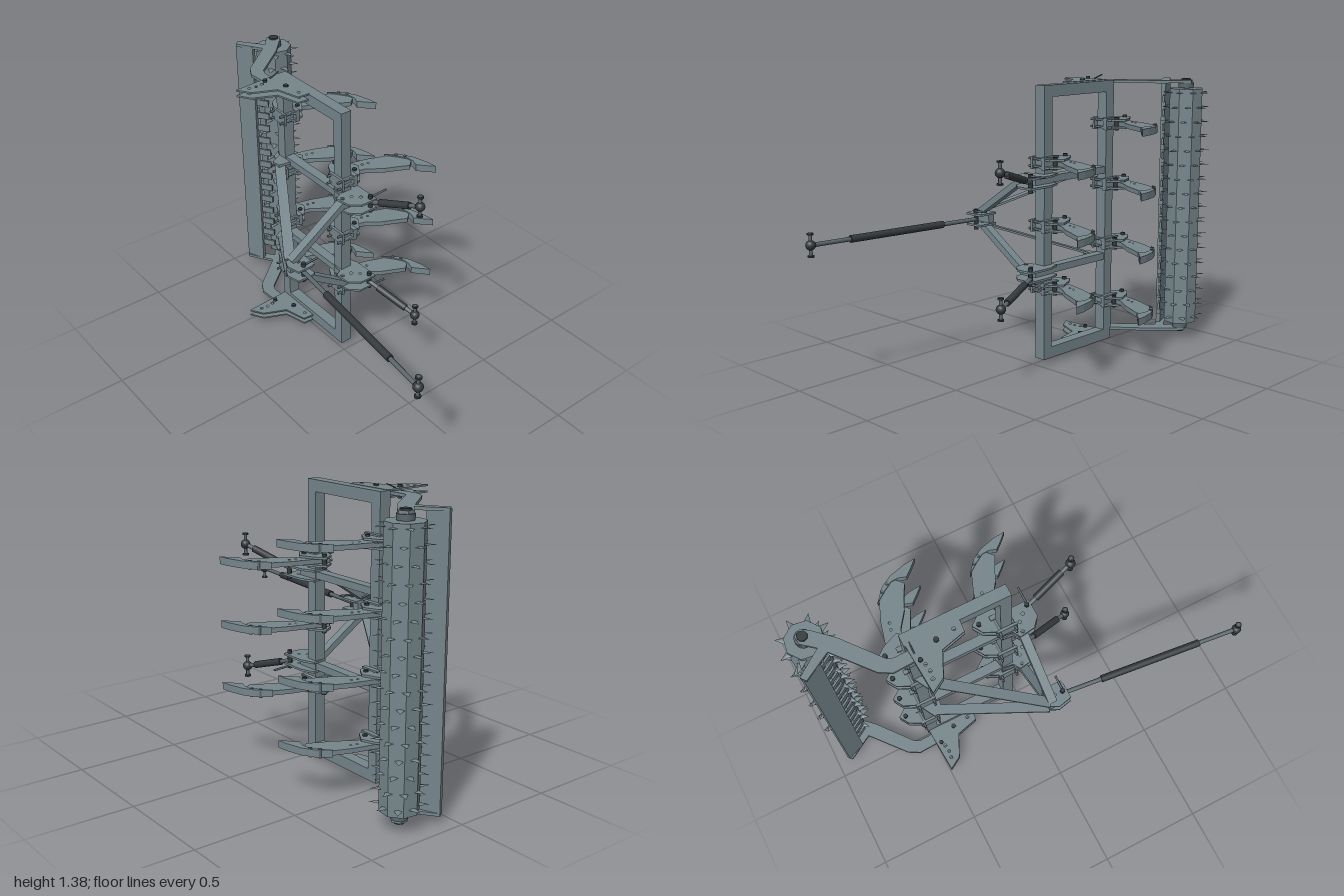
import * as THREE from 'three';
import { mergeGeometries } from 'three/addons/utils/BufferGeometryUtils.js';

const MID = 0.685; // plane of symmetry across the working width (y)
const steel = new THREE.MeshStandardMaterial({ color: 0x75858b, flatShading: true });
const dark = new THREE.MeshStandardMaterial({ color: 0x33383b });
const bolt = new THREE.MeshStandardMaterial({ color: 0x59666b });
const V = (x, y, z) => new THREE.Vector3(x, y, z);

function add(parent, name, geo, mat = steel) {
  const m = new THREE.Mesh(geo, mat);
  m.name = name;
  parent.add(m);
  return m;
}

function box(parent, name, x0, x1, y0, y1, z0, z1, mat) {
  const g = new THREE.BoxGeometry(x1 - x0, y1 - y0, z1 - z0);
  g.translate((x0 + x1) / 2, (y0 + y1) / 2, (z0 + z1) / 2);
  return add(parent, name, g, mat);
}

// Plate outlined in (x, z), with its thickness t centred on height y
function plate(parent, name, pts, y, t, holes = [], mat = steel) {
  const s = new THREE.Shape(pts.map(([x, z]) => new THREE.Vector2(x, -z)));
  for (const [x, z, r] of holes) s.holes.push(new THREE.Path().absarc(x, -z, r, 0, Math.PI * 2, true));
  const g = new THREE.ExtrudeGeometry(s, { depth: t, bevelEnabled: false, curveSegments: 5 });
  g.rotateX(-Math.PI / 2).translate(0, y - t / 2, 0);
  return add(parent, name, g, mat);
}

// Round bar between two points
function rod(parent, name, a, b, r, mat = bolt, sides = 14) {
  const d = b.clone().sub(a);
  const m = add(parent, name, new THREE.CylinderGeometry(r, r, d.length(), sides), mat);
  m.position.copy(a).lerp(b, 0.5);
  m.quaternion.setFromUnitVectors(V(0, 1, 0), d.normalize());
  return m;
}
const pin = (p, name, x, y, z, r, len, mat = bolt, sides = 10) =>
  rod(p, name, V(x, y - len / 2, z), V(x, y + len / 2, z), r, mat, sides);

// Rectangular bar between two points: w wide, t thick in the direction nearest y
function bar(parent, name, a, b, w, t) {
  const d = b.clone().sub(a);
  const m = add(parent, name, new THREE.BoxGeometry(w, t, d.length()));
  const z = d.normalize(), x = V(0, 1, 0).cross(z).normalize();
  m.quaternion.setFromRotationMatrix(new THREE.Matrix4().makeBasis(x, z.clone().cross(x), z));
  m.position.copy(a).lerp(b, 0.5);
  return m;
}

// Adjustable link with a dark sleeve, a ball end and a cross pin
function link(parent, name, a, b, s0, s1, r) {
  const g = new THREE.Group();
  g.name = name;
  parent.add(g);
  rod(g, 'linkRod', a, b, r * 0.6);
  rod(g, 'linkSleeve', a.clone().lerp(b, s0), a.clone().lerp(b, s1), r, dark, 18);
  add(g, 'linkBall', new THREE.SphereGeometry(0.023, 16, 12), dark).position.copy(b);
  pin(g, 'crossPin', b.x, b.y, b.z, 0.008, 0.11, bolt);
  for (const s of [-1, 1]) pin(g, 'crossPinHead', b.x, b.y + s * 0.05, b.z, 0.015, 0.008, dark);
}

function makeFrame(root) {
  const g = new THREE.Group();
  g.name = 'frame';
  root.add(g);
  box(g, 'rearBeam', -0.515, -0.46, 0.025, 1.345, -0.056, 0);
  box(g, 'frontBeam', -0.075, -0.02, 0.025, 1.345, -0.056, 0);
  for (const s of [-1, 1]) {
    const e = MID + s * 0.6325, m = MID + s * 0.22;
    box(g, 'endBeam', -0.46, -0.075, e - 0.0275, e + 0.0275, -0.056, 0);
    box(g, 'innerBeam', -0.46, -0.075, m - 0.017, m + 0.017, -0.052, -0.004);
  }
}

// Curved tine with its share, cheek plates and clamp, placed on a beam at (x, y)
function makeTine(root, x, y) {
  const g = new THREE.Group();
  g.name = 'tine';
  g.position.set(x, y, 0);
  root.add(g);
  const back = [[-0.1, -0.03], [-0.085, -0.1], [-0.07, -0.16], [-0.055, -0.22], [-0.02, -0.31], [0.025, -0.355], [0.075, -0.385]];
  const front = [[0.115, -0.34], [0.085, -0.28], [0.06, -0.225], [0.01, -0.155], [-0.015, -0.07], [-0.02, -0.03]];
  plate(g, 'shank', [...back, ...front], 0, 0.022, [[-0.03, -0.17, 0.006], [-0.022, -0.2, 0.006]]);
  plate(g, 'share', [[-0.03, -0.305], [0.02, -0.366], [0.075, -0.398], [0.15, -0.418], [0.205, -0.424],
    [0.17, -0.39], [0.135, -0.36], [0.1, -0.372], [0.065, -0.37], [0.025, -0.345]], 0, 0.034);
  for (const [bx, bz] of [[0.01, -0.345], [0.045, -0.37]]) pin(g, 'shareBolt', bx, 0, bz, 0.008, 0.042);
  const cheek = [[-0.135, -0.075], [-0.09, -0.11], [-0.02, -0.14], [0.04, -0.1], [0.05, -0.055], [0.03, 0.004], [-0.045, 0.004], [-0.105, -0.025]];
  for (const s of [-1, 1]) {
    plate(g, 'cheekPlate', cheek, s * 0.018, 0.01);
    for (const bx of [-0.038, 0.038])
      rod(g, 'clampBolt', V(bx, s * 0.018, -0.085), V(bx, s * 0.018, 0.032), 0.006);
  }
  box(g, 'clampPlate', -0.05, 0.05, -0.03, 0.03, 0, 0.012);
  box(g, 'clampBlock', -0.05, 0.05, -0.03, 0.03, -0.078, -0.056);
  pin(g, 'shearPin', -0.105, 0, -0.065, 0.011, 0.07, dark);
  pin(g, 'pivotPin', 0.0, 0, -0.1, 0.011, 0.062, dark);
}

function makeHitch(root) {
  const g = new THREE.Group();
  g.name = 'hitch';
  root.add(g);
  for (const s of [-1, 1]) {
    const y = MID + s * 0.22;
    // mast legs and flat rear stays meeting at the mast head
    bar(g, 'mastLeg', V(0.02, y + s * 0.01, 0.025), V(0.02, MID + s * 0.03, 0.325), 0.042, 0.03);
    bar(g, 'rearStay', V(-0.46, y, 0.035), V(0.01, MID + s * 0.035, 0.325), 0.05, 0.01);
    plate(g, 'mastHeadPlate', [[0, 0.25], [0.1, 0.25], [0.107, 0.27], [0.107, 0.345], [0.04, 0.36], [0, 0.34]],
      MID + s * 0.026, 0.01, [[0.045, 0.3, 0.008]]);
    plate(g, 'stayLug', [[-0.51, 0], [-0.42, 0], [-0.43, 0.06], [-0.475, 0.065]], y, 0.014);
    for (const k of [-1, 1])
      plate(g, 'lowerHitchPlate', [[-0.075, 0.004], [-0.09, -0.075], [-0.02, -0.1], [0.115, -0.1], [0.115, -0.01], [0.075, 0.035], [0, 0.045], [-0.02, 0.01]],
        y + k * 0.023, 0.01, [[0.03, -0.02, 0.008], [0.06, -0.05, 0.008]]);
    box(g, 'lowerHitchBlock', -0.02, 0.04, y - 0.02, y + 0.02, -0.056, 0.03);
    pin(g, 'lowerHitchPin', 0.095, y, -0.078, 0.011, 0.09, dark);
    rod(g, 'pinHandle', V(0.097, y + s * 0.035, -0.07), V(0.097, y + s * 0.04, -0.17), 0.005);
    pin(g, 'mastFootBolt', 0.02, y, 0.025, 0.01, 0.064);
    link(g, 'lowerLink', V(0.095, y + s * 0.008, -0.078), V(0.355, MID + s * 0.308, -0.147), 0.2, 0.8, 0.017);
  }
  box(g, 'mastHeadSpacer', 0, 0.035, MID - 0.022, MID + 0.022, 0.265, 0.34);
  pin(g, 'mastPin', 0.085, MID, 0.302, 0.011, 0.1, dark);
  rod(g, 'pinHandle', V(0.088, MID + 0.04, 0.302), V(0.088, MID + 0.045, 0.225), 0.005);
  link(g, 'topLink', V(0.085, MID, 0.302), V(0.973, MID, 0.4), 0.22, 0.78, 0.017);
}

// Spiked roller with its arms and scraper
function makeRoller(root) {
  const g = new THREE.Group();
  g.name = 'roller';
  root.add(g);
  const cx = -0.865, cz = -0.235;
  pin(g, 'drum', cx, 0.69, cz, 0.087, 1.21, steel, 8).rotateY(0.25);
  pin(g, 'axle', cx, MID, cz, 0.02, 1.31, bolt, 14);
  const spikes = [];
  for (let row = 0; row < 17; row++) {
    for (let k = 0; k < 8; k++) {
      const c = new THREE.ConeGeometry(0.02, 0.052, 4);
      c.scale(1, 1, 0.25).rotateZ(-Math.PI / 2).rotateX(Math.PI / 2).translate(0.101, 0, 0);
      c.rotateY((k + (row % 3) / 3) * Math.PI / 4).translate(cx, 0.115 + row * 0.0725, cz);
      spikes.push(c);
    }
  }
  add(g, 'spikes', mergeGeometries(spikes));
  // scraper rail with one blade between each pair of spike rows
  const rail = (name, a, b, y, t, w) => bar(g, name, V(a[0], y, a[1]), V(b[0], y, b[1]), w, t);
  rail('scraperRail', [-0.94, -0.067], [-0.85, -0.105], MID, 1.29, 0.022);
  for (let i = 0; i < 16; i++)
    rail('scraperBlade', [-0.88, -0.095], [-0.8, -0.145], 0.151 + i * 0.0725, 0.034, 0.01);

  const arm = [[-0.36, 0.015], [-0.36, 0.055], [-0.5, 0.075], [-0.6, 0.08], [-0.655, 0.05], [-0.8, -0.125],
    [-0.925, -0.05], [-0.945, -0.075], [-0.83, -0.16], [-0.89, -0.21], [-0.895, -0.25], [-0.86, -0.27],
    [-0.82, -0.24], [-0.74, -0.165], [-0.6, 0.01], [-0.57, 0.022]];
  const side = [[-0.51, -0.01], [-0.26, -0.01], [-0.265, 0.055], [-0.38, 0.085], [-0.43, 0.195], [-0.495, 0.235]];
  const holes = [[-0.47, 0.11, 0.008], [-0.465, 0.145, 0.008], [-0.47, 0.18, 0.008], [-0.3, 0.025, 0.008]];
  for (const s of [-1, 1]) {
    const y = MID + s * 0.644;
    plate(g, 'rollerArm', arm, y, 0.014);
    for (const k of [-1, 1]) plate(g, 'armBracket', side, y + k * 0.014, 0.008, holes);
    pin(g, 'armPivot', -0.385, y, 0.035, 0.012, 0.05, dark);
    pin(g, 'armStop', -0.48, y, 0.085, 0.01, 0.06, dark);
    rod(g, 'stopClip', V(-0.49, y + s * 0.02, 0.05), V(-0.49, y + s * 0.041, 0), 0.003);
    pin(g, 'bearing', cx, MID + s * 0.625, cz, 0.038, 0.026, bolt, 16);
    pin(g, 'axleCap', cx, MID + s * 0.65, cz, 0.024, 0.016, dark, 8);
  }
}

export function createModel() {
  const root = new THREE.Group();
  root.name = 'cultivator';
  makeFrame(root);
  for (let i = 0; i < 7; i++) makeTine(root, i % 2 ? -0.0475 : -0.4875, 0.235 + i * 0.15);
  makeHitch(root);
  makeRoller(root);
  return root;
}
